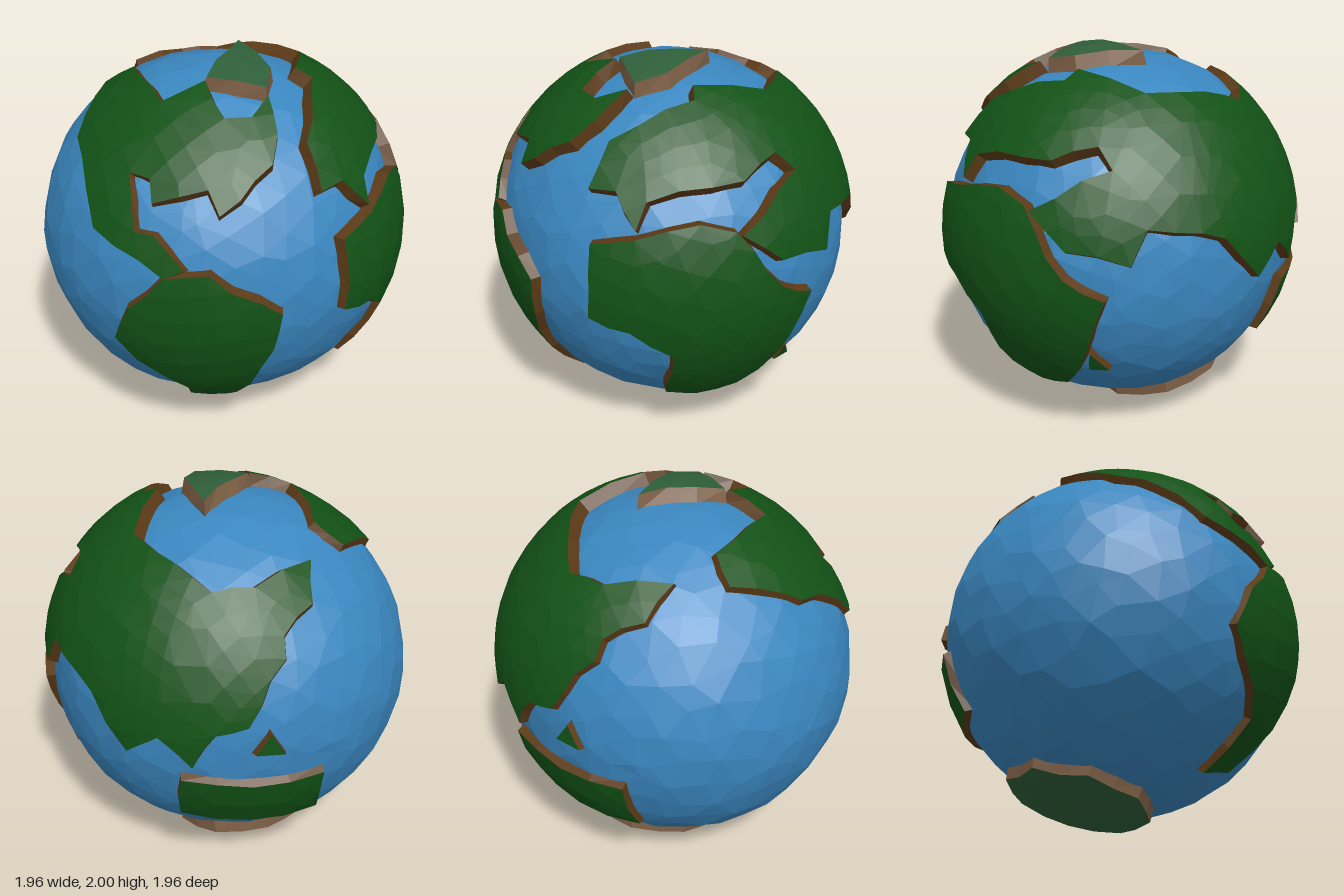
import * as THREE from 'three';

const MAX_EDGE = 0.2;
const mat = (color) => new THREE.MeshStandardMaterial({ color, flatShading: true, roughness: 0.9 });

// Directions (azimuth, elevation in degrees) along which coastlines are projected onto the globe.
const FRONT = [0, 0], EAST = [90, 0], TOP = [0, 90], BOTTOM = [0, -90], ASIA = [212, 26.5];

// The sea bulges a little on its wide, empty side.
const bulge = new THREE.Vector3(-0.95, 0, 0.3).normalize();
const seaRadius = (n) => 0.928 + 0.065 * Math.max(0, n.dot(bulge));
const landRadius = (n, polar) => polar ? 1 : Math.max(0.975 + 0.025 * n.y, seaRadius(n) + 0.035);

function project([az, el], u, v) {
  const rad = THREE.MathUtils.degToRad;
  const p = new THREE.Vector3(u, v, Math.sqrt(Math.max(0.01, 0.945 - u * u - v * v)));
  return p.applyEuler(new THREE.Euler(-rad(el), rad(az), 0, 'YXZ')).normalize();
}

// Stretch of coast given by its main corners
const coastline = (view, ...uv) =>
  Array.from({ length: uv.length / 2 }, (_, i) => project(view, uv[2 * i], uv[2 * i + 1]));

// Closed coast of a simple island: a stretched regular polygon
const ring = (view, u, v, ru, rv, sides, turn) => Array.from({ length: sides }, (_, i) => {
  const a = turn + (i / sides) * Math.PI * 2;
  return project(view, u + ru * Math.cos(a), v + rv * Math.sin(a));
});

// Split long edges; midpoints are shared, so neighbouring triangles stay joined.
function refine(pts, tris) {
  const mids = new Map(), out = [];
  const length = ([a, b]) => pts[a].distanceTo(pts[b]);
  const mid = (a, b) => {
    const key = a < b ? `${a},${b}` : `${b},${a}`;
    if (!mids.has(key)) mids.set(key, pts.push(pts[a].clone().lerp(pts[b], 0.5)) - 1);
    return mids.get(key);
  };
  const split = ([a, b, c]) => {
    const [longest] = [[a, b, c], [b, c, a], [c, a, b]].sort((e, f) => length(f) - length(e));
    if (length(longest) <= MAX_EDGE * 1.05) {
      out.push([a, b, c]);
      return;
    }
    const [i, j, k] = longest, m = mid(i, j);
    split([i, m, k]);
    split([m, j, k]);
  };
  tris.forEach(split);
  return out;
}

// Flip inner edges until the triangles are well shaped.
function relax(pts, tris) {
  const angle = (o, a, b) => {
    const p = pts[a].clone().sub(pts[o]), q = pts[b].clone().sub(pts[o]);
    return Math.atan2(Math.abs(p.cross(q)), p.dot(q));
  };
  for (let pass = 0, flips = 1; pass < 40 && flips; pass++) {
    flips = 0;
    const half = new Map(), dirty = new Set();
    tris.forEach(([a, b, c], t) => [[a, b, c], [b, c, a], [c, a, b]]
      .forEach(([i, j, k]) => half.set(`${i},${j}`, [t, k, i, j])));
    for (const [t, k, i, j] of half.values()) {
      const other = half.get(`${j},${i}`);
      if (!other || i > j || dirty.has(t) || dirty.has(other[0])) continue;
      const l = other[1];
      if (angle(k, i, j) + angle(l, i, j) < Math.PI + 1e-4) continue;
      tris[t] = [k, i, l];
      tris[other[0]] = [k, l, j];
      dirty.add(t).add(other[0]);
      flips++;
    }
  }
}

function meshFrom(name, corners, material) {
  const g = new THREE.BufferGeometry().setFromPoints(corners);
  g.computeVertexNormals();
  const mesh = new THREE.Mesh(g, material);
  mesh.name = name;
  return mesh;
}

function buildLand(name, dirs, topMat, cliffMat, polar = false) {
  // Unroll the coast onto a plane around the middle of the land
  const centre = dirs.reduce((s, d) => s.add(d), new THREE.Vector3()).normalize();
  const q = new THREE.Quaternion().setFromUnitVectors(centre, new THREE.Vector3(0, 0, 1));
  const back = q.clone().invert();
  const flat = dirs.map((d) => {
    const p = d.clone().applyQuaternion(q);
    return new THREE.Vector2(p.x, p.y).setLength(Math.acos(THREE.MathUtils.clamp(p.z, -1, 1)));
  });
  if (THREE.ShapeUtils.isClockWise(flat)) flat.reverse();
  const roll = (p) => {
    const r = p.length(), s = r > 1e-6 ? Math.sin(r) / r : 1;
    return new THREE.Vector3(p.x * s, p.y * s, Math.cos(r)).applyQuaternion(back);
  };

  // Rugged coast: extra points between the corners, each pushed slightly in or out
  const coast = flat.flatMap((p, i) => {
    const next = flat[(i + 1) % flat.length], n = Math.ceil(p.distanceTo(next) / MAX_EDGE);
    const side = new THREE.Vector2(next.y - p.y, p.x - next.x).normalize();
    return Array.from({ length: n }, (_, k) =>
      p.clone().lerp(next, k / n).addScaledVector(side, k ? 0.012 * Math.sin(5 * i + 3 * k) : 0));
  });

  // Raised surface
  const pts = coast.slice();
  let tris = THREE.ShapeUtils.triangulateShape(coast, []);
  for (let i = 0; i < 3; i++) {
    relax(pts, tris);
    tris = refine(pts, tris);
  }
  relax(pts, tris);
  const surface = pts.map((p) => { const n = roll(p); return n.multiplyScalar(landRadius(n, polar)); });

  // Sloping cliff down to just below the sea
  const count = coast.length;
  const foot = coast.map((p, i) => {
    const d = coast[(i + 1) % count].clone().sub(p).normalize()
      .add(p.clone().sub(coast[(i + count - 1) % count]).normalize());
    const n = roll(new THREE.Vector2(d.y, -d.x).setLength(polar ? 0.04 : 0.024).add(p));
    return n.multiplyScalar(seaRadius(n) - 0.015);
  });
  const cliff = coast.flatMap((_, i) => {
    const j = (i + 1) % count;
    return [foot[i], foot[j], surface[j], foot[i], surface[j], surface[i]];
  });

  const land = new THREE.Group();
  land.name = name;
  land.add(meshFrom(name + 'Surface', tris.flat().map((i) => surface[i]), topMat),
    meshFrom(name + 'Cliff', cliff, cliffMat));
  return land;
}

function buildSea() {
  const g = new THREE.IcosahedronGeometry(1, 6), pos = g.attributes.position, v = new THREE.Vector3();
  const wobble = (a, b, c) => Math.sin(Math.round(a * 1e3) * 1.7 + Math.round(b * 1e3) * 2.3 + Math.round(c * 1e3) * 3.1);
  for (let i = 0; i < pos.count; i++) {
    v.fromBufferAttribute(pos, i);
    const { x, y, z } = v;
    v.add(new THREE.Vector3(wobble(x, y, z), wobble(y, z, x), wobble(z, x, y)).multiplyScalar(0.03)).normalize();
    v.multiplyScalar(seaRadius(v) + 0.004 * wobble(x, z, y));
    pos.setXYZ(i, v.x, v.y, v.z);
  }
  g.computeVertexNormals();
  const sea = new THREE.Mesh(g, mat(0x3a87c0));
  sea.name = 'sea';
  return sea;
}

export function createModel() {
  const model = new THREE.Group();
  model.name = 'globe';
  const grass = mat(0x125216), earth = mat(0x5c3b18), paleGrass = mat(0x2f5f3a), paleEarth = mat(0x7d5f45);
  const addLand = (name, ...coasts) => model.add(buildLand(name, coasts.flat(), grass, earth));
  const addPolar = (name, coast) => model.add(buildLand(name, coast, paleGrass, paleEarth, true));

  model.add(buildSea());
  addLand('northAmerica',
    coastline(FRONT, -.04, .2, -.42, .34, -.56, .57),
    coastline(TOP, -.63, -.43, -.62, -.06, -.47, -.05, -.2, -.42, -.02, -.29, .13, -.48, .25, -.43, .29, -.28, .38, -.45),
    coastline(FRONT, .39, .68, .28, .56, .2, .5, .13, .6, -.13, .52, -.16, .61, -.27, .61, -.2, .39, -.1, .39, .06, .25));
  addLand('southAmerica',
    coastline(FRONT, -.04, .2, .18, .24, .52, .01, .48, -.22, .18, -.78, -.02, -.82, .02, -.58, -.31, -.22, -.22, 0));
  addLand('africa',
    coastline(EAST, -.34, .36, -.03, .43, .14, .38, .38, .06, .56, -.04, .41, -.41, .22, -.65, .01, -.71,
      -.17, -.65, -.17, -.28, -.38, -.13, -.57, -.08, -.54, .31));
  addLand('eurasia',
    coastline(EAST, -.52, .54, -.4, .55, -.33, .4, -.27, .52, .2, .58, .38, .65, .48, .56, .17, .36, .38, .2,
      .65, .14, .68, .31, .9, .22),
    coastline(ASIA, -.58, -.38, -.43, -.3, -.27, -.47, -.16, -.3, 0, -.27, .19, .05, .19, .16),
    coastline(TOP, -.63, .36, -.55, .19, -.39, .49, -.22, .6, 0, .54, .29, .4, .35, .03, .44, .02, .51, -.4));
  addLand('australia', ring(ASIA, .03, -.655, .5, .16, 4, Math.PI / 4));
  addLand('africanIsland', ring(EAST, .45, -.45, .05, .08, 3, Math.PI / 2));
  addLand('pacificIsland', ring(ASIA, .11, -.38, .08, .07, 3, Math.PI / 2));
  addPolar('northPolarIsland', coastline(TOP, .02, .17, .25, -.08, .27, -.24, -.02, -.27));
  addPolar('southPolarLand', ring(BOTTOM, -.19, -.13, .36, .37, 8, 0));
  model.children.forEach((part) => { part.position.y = 1; });
  return model;
}
